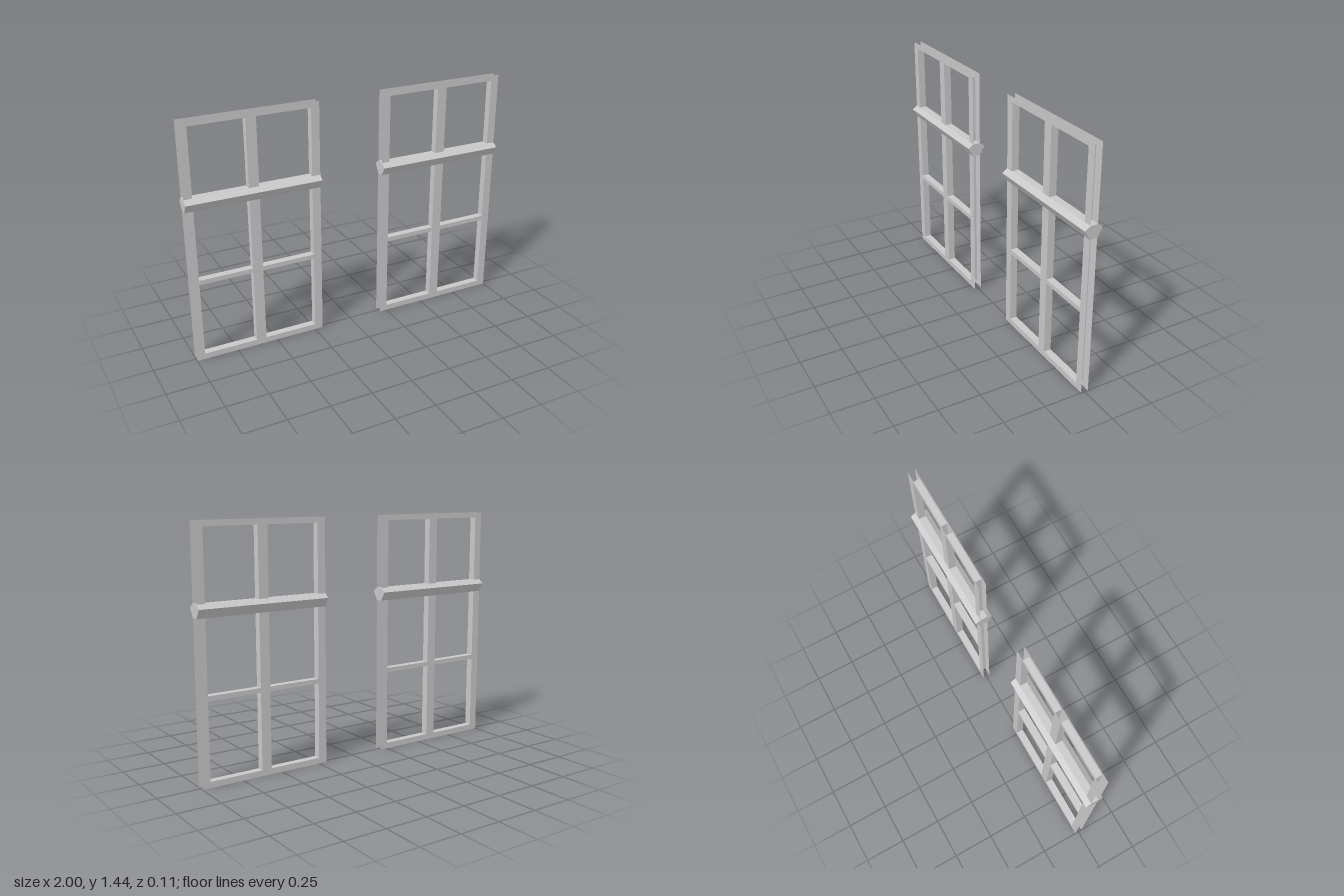
import * as THREE from 'three';

const W = 0.4;        // half width of one window
const H = 1.44;       // window height
const D = 0.022;      // half depth of the frame
const COLUMNS = [[-0.35, -0.03], [0.03, 0.35]];
const ROWS = [[0.035, 0.485], [0.512, 0.932], [1.008, 1.408]];

const grey = new THREE.MeshStandardMaterial({ color: 0xc8c8c8, side: THREE.DoubleSide });
grey.name = 'window grey';

function add(group, name, geometry) {
  const mesh = new THREE.Mesh(geometry, grey);
  mesh.name = name;
  group.add(mesh);
  return mesh;
}

// Flat frame face with six pane openings
function faceGeometry() {
  const rect = (p, x0, y0, x1, y1) =>
    p.moveTo(x0, y0).lineTo(x1, y0).lineTo(x1, y1).lineTo(x0, y1).closePath();
  const shape = rect(new THREE.Shape(), -W, 0, W, H);
  for (const [x0, x1] of COLUMNS) {
    for (const [y0, y1] of ROWS) shape.holes.push(rect(new THREE.Path(), x0, y0, x1, y1));
  }
  return new THREE.ShapeGeometry(shape);
}

// Six-sided sill rail, pointed at front and back, running across the window
function railGeometry() {
  const profile = new THREE.Shape([
    [D, 0.932], [0.053, 0.984], [D, 1.008], [-D, 1.008], [-0.053, 0.984], [-D, 0.932],
  ].map(([u, v]) => new THREE.Vector2(u, v)));
  return new THREE.ExtrudeGeometry(profile, { depth: 2 * W, bevelEnabled: false })
    .translate(0, 0, -W)
    .rotateY(Math.PI / 2);
}

function createWindow(name) {
  const win = new THREE.Group();
  win.name = name;

  // Front and back faces; the outer rim between them is open
  const face = faceGeometry();
  add(win, 'frontFace', face).position.z = D;
  const back = add(win, 'backFace', face);
  back.position.z = -D;
  back.rotation.y = Math.PI;

  // Inner sides of the openings
  const bottom = ROWS[0][0];
  const top = ROWS[2][1];
  for (const [x0, x1] of COLUMNS) {
    for (const [x, dir] of [[x0, 1], [x1, -1]]) {
      const side = new THREE.PlaneGeometry(2 * D, top - bottom).rotateY(dir * Math.PI / 2);
      add(win, 'openingSide', side).position.set(x, (bottom + top) / 2, 0);
    }
    for (const [y0, y1] of ROWS) {
      for (const [y, dir] of [[y0, -1], [y1, 1]]) {
        const ledge = new THREE.PlaneGeometry(x1 - x0, 2 * D).rotateX(dir * Math.PI / 2);
        add(win, 'openingLedge', ledge).position.set((x0 + x1) / 2, y, 0);
      }
    }
  }

  add(win, 'sillRail', railGeometry());
  return win;
}

export function createModel() {
  const model = new THREE.Group();
  model.name = 'windowPair';
  for (const [name, x] of [['leftWindow', 0.6], ['rightWindow', -0.6]]) {
    const win = createWindow(name);
    win.position.x = x;
    model.add(win);
  }
  return model;
}
